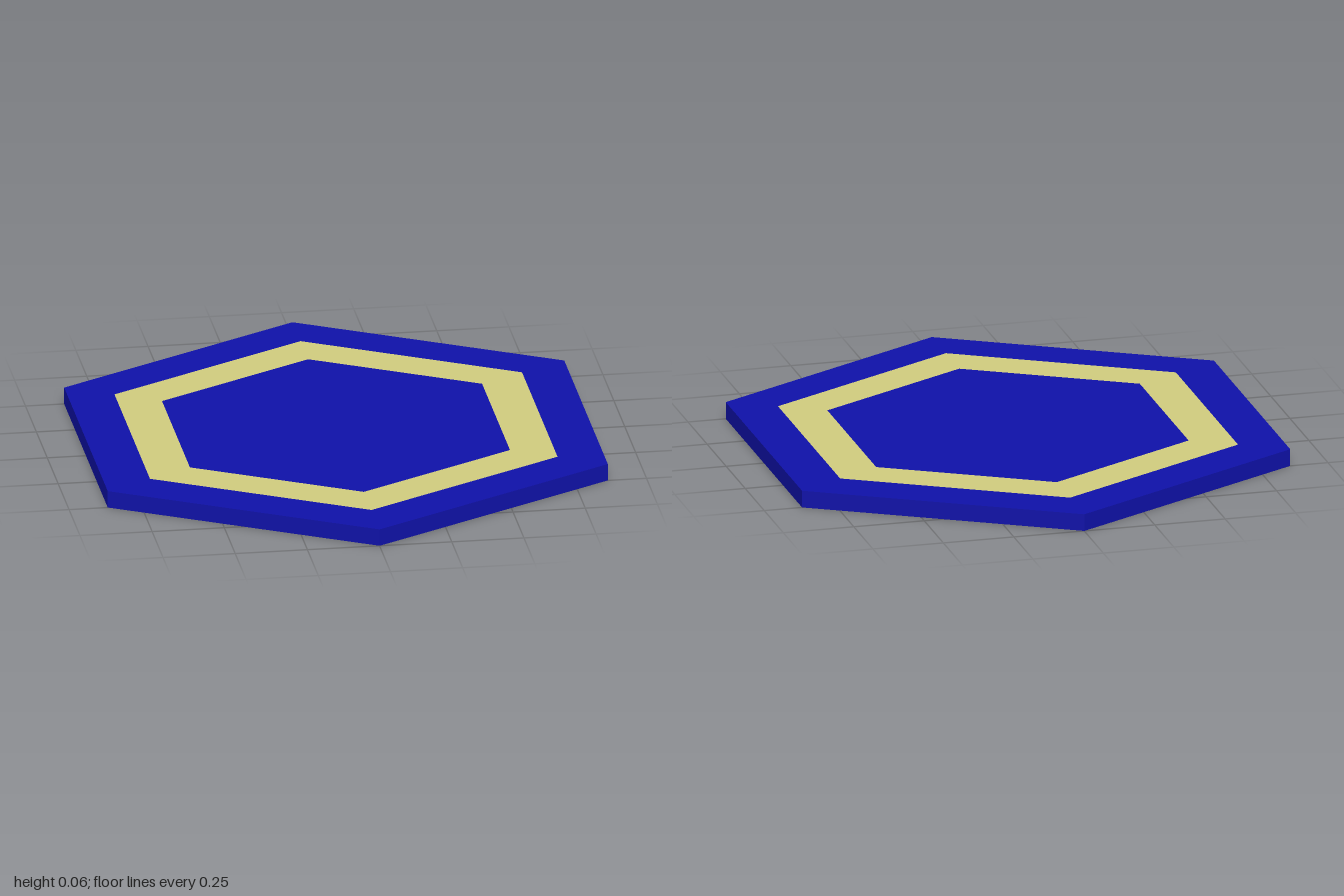
import * as THREE from 'three';

const HEIGHT = 0.06;

export function createModel() {
  const model = new THREE.Group();
  model.name = 'hexTile';

  const add = (name, geometry, color, y) => {
    const material = new THREE.MeshStandardMaterial({ color, flatShading: true });
    const mesh = new THREE.Mesh(geometry, material);
    mesh.name = name;
    mesh.position.y = y;
    model.add(mesh);
  };

  // Flat hexagonal slab with corners pointing to the front and back
  add('tileBody', new THREE.CylinderGeometry(1, 1, HEIGHT, 6), 0x0f11a8, HEIGHT / 2);

  // Hexagonal band inlaid in the top face, a hair above it
  const band = new THREE.RingGeometry(0.64, 0.815, 6, 1, Math.PI / 2);
  band.rotateX(-Math.PI / 2);
  add('inlaidBand', band, 0xd0cb7e, HEIGHT + 0.001);

  return model;
}
